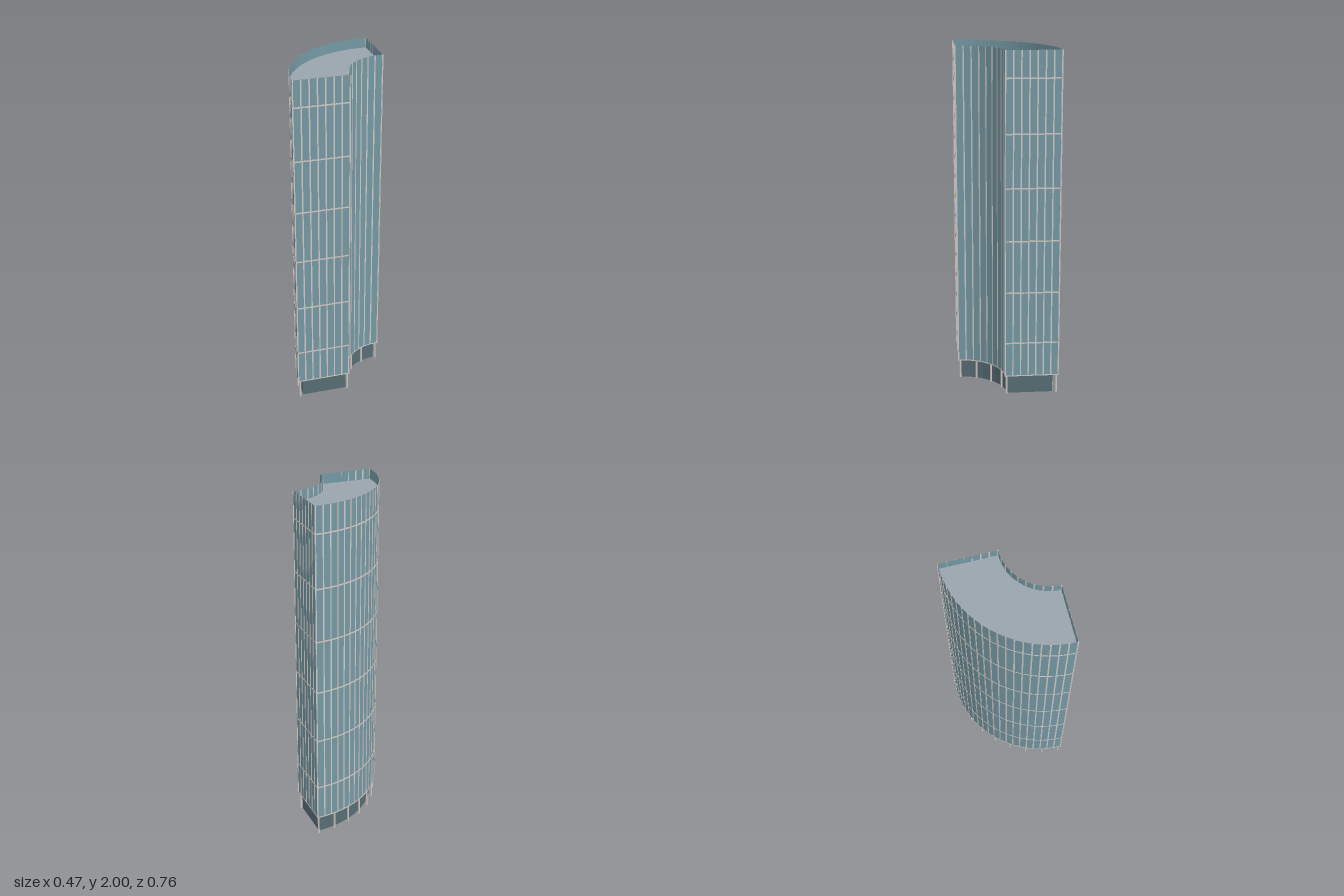
import * as THREE from 'three';
import { mergeGeometries } from 'three/addons/utils/BufferGeometryUtils.js';

// Quarter-ring plan: shared centre, radii and end angles
const CX = 0.338, CZ = 0.146, R_OUT = 0.571, R_IN = 0.261;
const A0 = THREE.MathUtils.degToRad(-66.5), A1 = THREE.MathUtils.degToRad(23.5);
const BOTTOM = 0.112, ROOF = 1.942, TOP = 2;

const at = (r, a) => new THREE.Vector2(CX - r * Math.cos(a), CZ + r * Math.sin(a));

// Points along an arc, with its ends pulled in by a straight inset
function arc(r, bays, inset = 0) {
  const d = Math.asin(inset / r), pts = [];
  for (let i = 0; i <= bays; i++) pts.push(at(r, A0 + d + (A1 - A0 - 2 * d) * i / bays));
  return pts;
}

function line(a, b, bays) {
  return Array.from({ length: bays + 1 }, (_, i) => a.clone().lerp(b, i / bays));
}

// Flat-faced vertical wall around a closed plan
function wall(plan, y0, y1) {
  const v = [];
  plan.forEach((p, i) => {
    const q = plan[(i + 1) % plan.length];
    v.push(p.x, y0, p.y, q.x, y0, q.y, q.x, y1, q.y, p.x, y0, p.y, q.x, y1, q.y, p.x, y1, p.y);
  });
  const g = new THREE.BufferGeometry();
  g.setAttribute('position', new THREE.Float32BufferAttribute(v, 3));
  g.computeVertexNormals();
  return g;
}

// Horizontal slab face, looking up or down
function slab(plan, y, up) {
  const s = up ? -1 : 1;
  const shape = new THREE.Shape(plan.map(p => new THREE.Vector2(p.x, s * p.y)));
  return new THREE.ShapeGeometry(shape).rotateX(s * Math.PI / 2).translate(0, y, 0);
}

// Vertical bars at each point of a run, pushed outward by a shift
function uprights(run, y0, y1, width, depth, shift) {
  return run.map((p, i) => {
    const a = run[Math.max(i - 1, 0)], b = run[Math.min(i + 1, run.length - 1)];
    return new THREE.BoxGeometry(width, y1 - y0, depth)
      .translate(0, 0, shift)
      .rotateY(-Math.atan2(b.y - a.y, b.x - a.x))
      .translate(p.x, (y0 + y1) / 2, p.y);
  });
}

// Horizontal bars joining the points of a run
function rails(run, y, height, depth, shift) {
  return run.slice(1).map((b, i) => {
    const a = run[i];
    return new THREE.BoxGeometry(a.distanceTo(b), height, depth)
      .translate(0, 0, shift)
      .rotateY(-Math.atan2(b.y - a.y, b.x - a.x))
      .translate((a.x + b.x) / 2, y, (a.y + b.y) / 2);
  });
}

export function createModel() {
  const group = new THREE.Group();
  const material = (name, color, side = THREE.FrontSide) => {
    const m = new THREE.MeshStandardMaterial({ color, side });
    m.name = name;
    return m;
  };
  const glass = material('blue glass', 0x7499a4, THREE.DoubleSide);
  const darkGlass = material('dark lobby glass', 0x566d74, THREE.DoubleSide);
  const roofGrey = material('roof grey', 0x9aa4ad);
  const metal = material('pale metal', 0xd0c8c4);
  const add = (name, geometry, mat) => {
    const mesh = new THREE.Mesh(geometry, mat);
    mesh.name = name;
    group.add(mesh);
  };

  // Four facade runs
  const outer = arc(R_OUT, 20), inner = arc(R_IN, 9);
  const backEnd = line(inner[0], outer[0], 7);
  const frontEnd = line(outer[20], inner[9], 7);
  const plan = [...outer, ...inner.slice().reverse()];

  // Glass skin, rising past the roof as a thin parapet
  add('glassFacade', wall(plan, BOTTOM, TOP), glass);
  add('roof', slab(plan, ROOF, true), roofGrey);
  add('soffit', slab(plan, BOTTOM + 0.002, false), metal);

  // Mullions: outside only on the convex side and ends, through the glass on the concave side
  const mullions = uprights(inner, BOTTOM, TOP - 0.001, 0.008, 0.003, 0);
  for (const run of [outer, backEnd, frontEnd])
    mullions.push(...uprights(run, BOTTOM, TOP - 0.001, 0.008, 0.002, 0.001));
  add('mullions', mergeGeometries(mullions), metal);

  // Floor bands on the convex side and both ends
  const bands = [];
  for (const run of [outer, backEnd, frontEnd]) {
    for (let i = 0; i < 6; i++) bands.push(...rails(run, 0.318 + i * 0.306, 0.008, 0.0015, 0.00075));
    bands.push(...rails(run, BOTTOM + 0.003, 0.006, 0.0015, 0.00075));
  }
  bands.push(...rails(inner, BOTTOM + 0.003, 0.006, 0.002, 0));
  add('floorBands', mergeGeometries(bands), metal);

  // Recessed lobby, open underneath
  const lobby = [...arc(R_OUT - 0.031, 20, 0.02), ...arc(R_IN + 0.016, 9, 0.02).reverse()];
  add('lobbyWalls', wall(lobby, 0, BOTTOM), darkGlass);

  // Slim columns under the curved edges
  const columns = [...arc(R_OUT - 0.011, 8, 0.01), ...arc(R_IN + 0.008, 4, 0.01)].map(p =>
    new THREE.CylinderGeometry(0.006, 0.006, BOTTOM, 10).translate(p.x, BOTTOM / 2, p.y));
  add('columns', mergeGeometries(columns), metal);

  return group;
}
